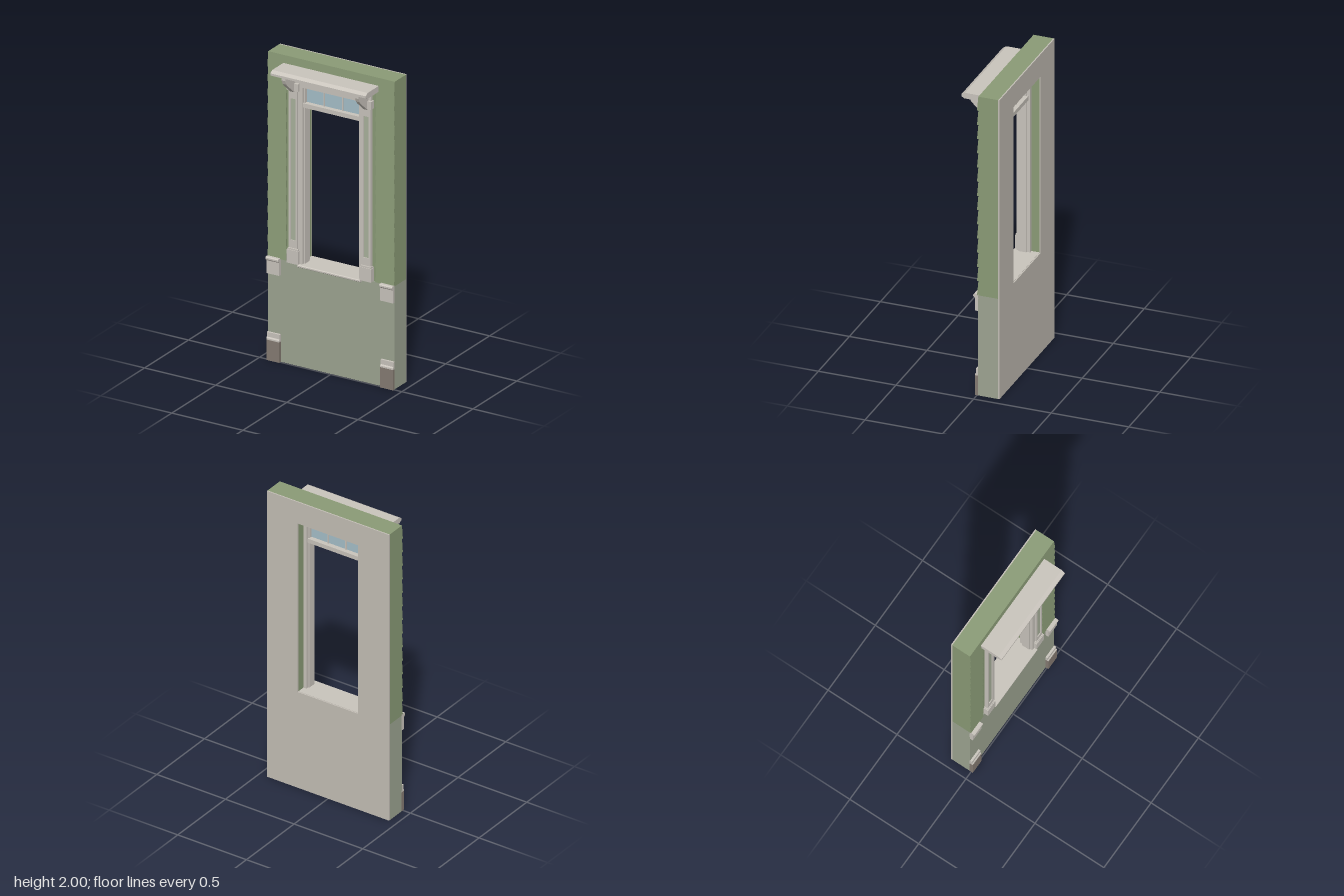
import * as THREE from 'three';

const mat = (name, color, side = THREE.FrontSide) => {
  const m = new THREE.MeshStandardMaterial({ color, side });
  m.name = name;
  return m;
};

export function createModel() {
  const root = new THREE.Group();
  root.name = 'wallWithDoorway';
  const siding = mat('sidingGreen', 0x8a9b76);
  const lower = mat('lowerWallGreyGreen', 0x9da491);
  const trim = mat('trimOffWhite', 0xc9c4bc);
  const inner = mat('innerWallGrey', 0xc4bfb6);
  const panelMat = mat('panelPaleGreen', 0xa9b19c);
  const stone = mat('plinthBrown', 0x857b72);
  const glass = mat('glassBlue', 0xa6bfc9);

  const add = (name, geo, m, parent = root) => {
    const mesh = new THREE.Mesh(geo, m);
    mesh.name = name;
    parent.add(mesh);
    return mesh;
  };
  // Box given by its min and max on each axis
  const box = (name, m, x0, x1, y0, y1, z0, z1, parent = root) => {
    const b = add(name, new THREE.BoxGeometry(x1 - x0, y1 - y0, z1 - z0), m, parent);
    b.position.set((x0 + x1) / 2, (y0 + y1) / 2, (z0 + z1) / 2);
    return b;
  };
  // Side profile of [z, y] points, extruded along x
  const profile = (name, m, pts, x0, x1, parent = root) => {
    const shape = new THREE.Shape(pts.map(([z, y]) => new THREE.Vector2(-z, y)));
    const geo = new THREE.ExtrudeGeometry(shape, { depth: x1 - x0, bevelEnabled: false });
    geo.rotateY(Math.PI / 2).translate(x0, 0, 0);
    return add(name, geo, m, parent);
  };
  // Front outline of [x, y] points with optional hole, extruded along z
  const slab = (name, m, pts, hole, z0, z1) => {
    const v = (p) => p.map(([x, y]) => new THREE.Vector2(x, y));
    const shape = new THREE.Shape(v(pts));
    if (hole) shape.holes.push(new THREE.Path(v(hole)));
    const geo = new THREE.ExtrudeGeometry(shape, { depth: z1 - z0, bevelEnabled: false });
    return add(name, geo.translate(0, 0, z0), m);
  };
  const rect = (x, y0, y1) => [[-x, y0], [x, y0], [x, y1], [-x, y1]];

  const W = 0.445, O = 0.22, BASE = 0.67, HEAD = 1.85, BACK = -0.145, SKIN = -0.137, CORE = -0.012;

  // Wall body
  box('lowerWall', lower, -W, W, 0, BASE - 0.01, SKIN, -0.008);
  for (const s of [-1, 1]) {
    const x0 = s < 0 ? -W : O, x1 = s < 0 ? -O : W;
    box('lowerWallTop', lower, x0, x1, BASE - 0.01, BASE, SKIN, -0.008);
  }
  slab('upperWall', siding, [
    [-W, BASE], [-O, BASE], [-O, HEAD], [O, HEAD], [O, BASE], [W, BASE], [W, 2], [-W, 2],
  ], null, SKIN, CORE);
  slab('innerWallSkin', inner, rect(W, 0, 2), rect(O, BASE, HEAD), BACK, SKIN);

  // Clapboards, cut out around the door surround
  const clapboards = new THREE.Group();
  clapboards.name = 'clapboards';
  root.add(clapboards);
  const rows = 14, h = (2 - BASE) / rows;
  for (let i = 0; i < rows; i++) {
    const y = BASE + i * h;
    const pts = [[CORE, y], [0, y], [-0.009, y + h], [CORE, y + h]];
    const spans = i === rows - 1 ? [[-W, W]] : [[-W, -0.315], [0.315, W]];
    for (const [a, b] of spans) profile('clapboard', siding, pts, a, b, clapboards);
  }

  // Sill and door frame
  box('sill', trim, -O, O, 0.66, BASE + 0.002, SKIN, 0.005);
  profile('sillNose', trim, [[0, 0.655], [0.018, 0.655], [0.025, 0.66], [0.025, 0.668], [0.02, 0.672], [0, 0.672]], -O, O);
  for (const s of [-1, 1]) {
    const side = new THREE.Group();
    side.name = s < 0 ? 'rightSurround' : 'leftSurround';
    root.add(side);
    const sbox = (name, m, a, b, y0, y1, z0, z1) =>
      box(name, m, s < 0 ? -b : a, s < 0 ? -a : b, y0, y1, z0, z1, side);
    sbox('jamb', trim, 0.198, O, BASE, HEAD, -0.085, 0);
    sbox('doorStop', trim, 0.19, 0.198, BASE, 1.82, -0.065, -0.015);
    sbox('casing', trim, 0.2, 0.23, BASE, HEAD, CORE, 0.003);

    // Pilaster with recessed panel, base and capital
    const cx = 0.2575;
    sbox('pilasterCore', trim, 0.228, 0.288, BASE, 1.91, CORE, 0.006);
    sbox('pilasterPanel', panelMat, 0.239, 0.274, 0.82, 1.74, 0.004, 0.0075);
    sbox('pilasterStile', trim, 0.228, 0.239, 0.77, 1.8, 0, 0.013);
    sbox('pilasterStile', trim, 0.274, 0.288, 0.77, 1.8, 0, 0.013);
    sbox('pilasterRail', trim, 0.239, 0.274, 0.77, 0.82, 0, 0.013);
    sbox('pilasterRail', trim, 0.239, 0.274, 1.74, 1.8, 0, 0.013);
    sbox('pilasterBase', trim, 0.217, 0.296, BASE, 0.757, CORE, 0.021);
    sbox('pilasterBaseCap', trim, 0.221, 0.292, 0.757, 0.767, CORE, 0.017);
    sbox('capital', trim, 0.217, 0.298, 1.795, 1.845, CORE, 0.022);

    // Bracket under the hood
    const bx = s * cx;
    profile('bracket', trim, [
      [0, 1.785], [0.025, 1.79], [0.05, 1.815], [0.09, 1.848], [0.11, 1.87], [0.12, 1.895], [0.12, 1.912], [0, 1.912],
    ], bx - 0.013, bx + 0.013, side);

    // Corner blocks at the foot and top of the lower wall
    sbox('plinth', stone, 0.355, W, 0, 0.132, CORE, 0.012);
    profile('plinthCap', trim, [[CORE, 0.132], [0.012, 0.132], [0.012, 0.142], [0.006, 0.15], [0.006, 0.18], [CORE, 0.18]],
      s < 0 ? -W : 0.355, s < 0 ? -0.355 : W, side);
    sbox('cornerBlock', trim, 0.355, W, 0.565, 0.652, CORE, 0.012);
    profile('cornerBlockCap', trim, [[CORE, 0.65], [0.013, 0.65], [0.024, 0.66], [0.024, 0.67], [0.018, 0.676], [CORE, 0.676]],
      s < 0 ? -W : 0.355, s < 0 ? -0.355 : W, side);
  }

  // Head, transom rail and window
  box('frieze', trim, -0.288, 0.288, 1.848, 1.91, CORE, 0.008);
  box('headJamb', trim, -0.198, 0.198, 1.82, HEAD, -0.085, 0);
  box('transomRail', trim, -0.198, 0.198, 1.69, 1.718, -0.075, -0.005);
  box('transomGlass', glass, -0.198, 0.198, 1.715, 1.822, -0.044, -0.036);
  for (const x of [-0.065, 0.065])
    box('transomMuntin', trim, x - 0.004, x + 0.004, 1.715, 1.822, -0.052, -0.03);

  // Hood
  profile('hood', trim, [
    [CORE, 1.912], [0.125, 1.912], [0.135, 1.918], [0.145, 1.922], [0.145, 1.936], [0.122, 1.95], [CORE, 1.95],
  ], -0.335, 0.335);

  return root;
}
